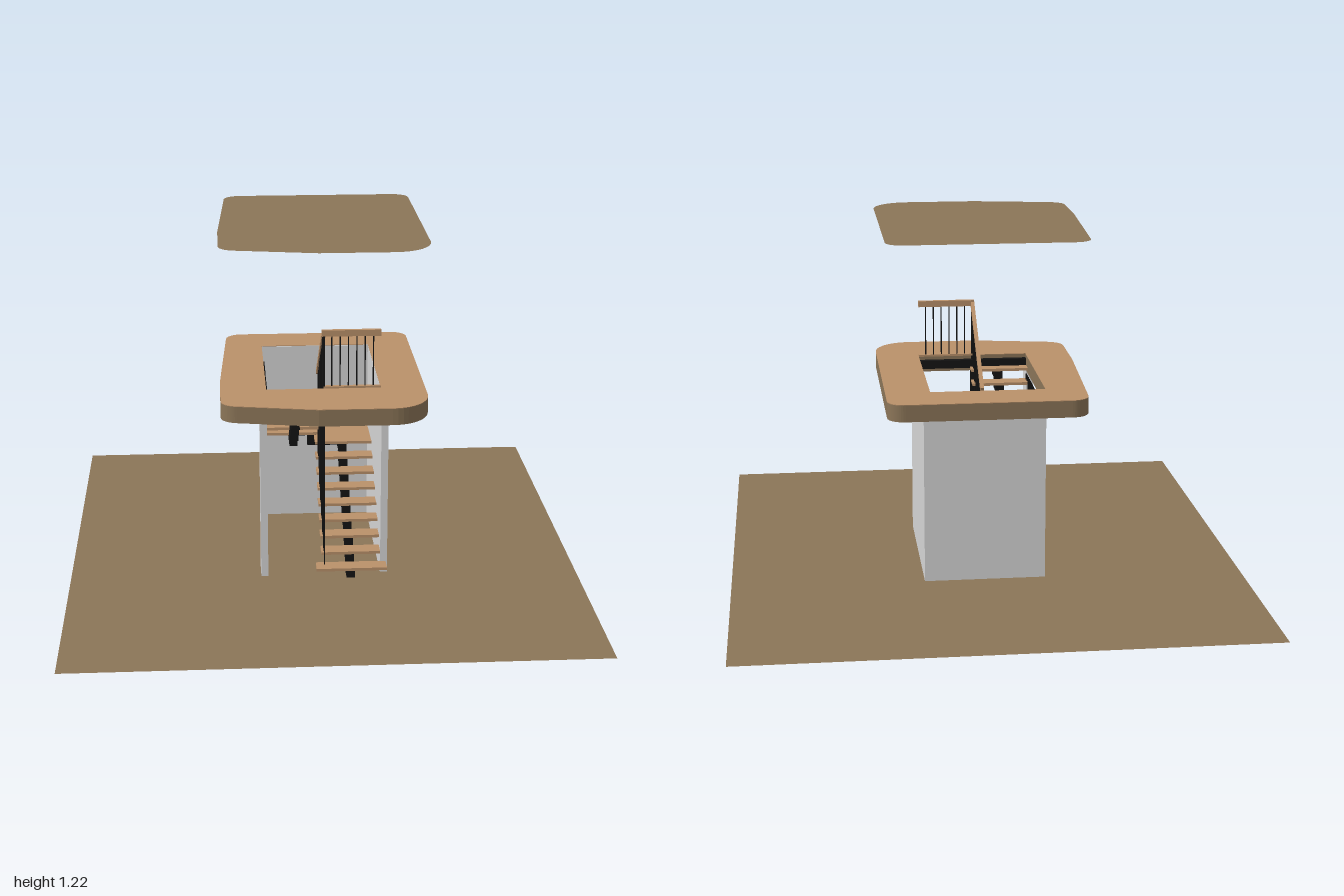
import * as THREE from 'three';

const mat = (name, color, side = THREE.FrontSide) => {
  const m = new THREE.MeshStandardMaterial({ color, side });
  m.name = name;
  return m;
};

export function createModel() {
  const earth = mat('earthBrown', 0x8b7558, THREE.DoubleSide);
  const wood = mat('wood', 0xba916a);
  const grey = mat('wallGrey', 0xd6d6d6);
  const black = mat('blackSteel', 0x141414);

  const model = new THREE.Group();
  const add = (parent, name, geo, material) => {
    const mesh = new THREE.Mesh(geo, material);
    mesh.name = name;
    parent.add(mesh);
    return mesh;
  };
  // Box given by its extents
  const box = (parent, name, material, x0, x1, y0, y1, z0, z1) => {
    const m = add(parent, name, new THREE.BoxGeometry(x1 - x0, y1 - y0, z1 - z0), material);
    m.position.set((x0 + x1) / 2, (y0 + y1) / 2, (z0 + z1) / 2);
    return m;
  };
  const group = (name) => {
    const g = new THREE.Group();
    g.name = name;
    model.add(g);
    return g;
  };

  // Rounded plan outline shared by roof and deck (shape y becomes z)
  const outline = () => {
    const s = new THREE.Shape();
    s.moveTo(-0.27, -0.46);
    s.lineTo(0.295, -0.46);
    s.bezierCurveTo(0.33, -0.46, 0.355, -0.435, 0.355, -0.40);
    s.lineTo(0.355, 0.31);
    s.bezierCurveTo(0.355, 0.39, 0.30, 0.457, 0.22, 0.457);
    s.lineTo(-0.03, 0.457);
    s.lineTo(-0.305, 0.405);
    s.bezierCurveTo(-0.335, 0.40, -0.36, 0.375, -0.36, 0.345);
    s.lineTo(-0.36, 0.13);
    s.lineTo(-0.333, -0.40);
    s.bezierCurveTo(-0.332, -0.435, -0.305, -0.46, -0.27, -0.46);
    return s;
  };
  const slab = (name, material, top, depth, hole) => {
    const [x0, x1, z0, z1] = hole;
    const s = outline();
    s.holes.push(new THREE.Path([
      new THREE.Vector2(x0, z0), new THREE.Vector2(x0, z1),
      new THREE.Vector2(x1, z1), new THREE.Vector2(x1, z0)]));
    const geo = new THREE.ExtrudeGeometry(s, { depth, bevelEnabled: false, curveSegments: 12 });
    add(model, name, geo.rotateX(Math.PI / 2), material).position.y = top;
  };

  // Ground, floating roof sheet and deck
  add(model, 'ground', new THREE.PlaneGeometry(1.8, 2).rotateX(-Math.PI / 2), earth);
  add(model, 'roofSheet', new THREE.ShapeGeometry(outline(), 12).rotateX(Math.PI / 2), earth).position.y = 1.22;
  slab('deckBody', earth, 0.678, 0.058, [-0.2, 0.21, -0.31, 0.228]);
  slab('deckTop', wood, 0.68, 0.002, [-0.2, 0.2, -0.3, 0.228]);

  // Walls
  const walls = group('walls');
  box(walls, 'rightWall', grey, 0.2, 0.225, 0, 0.677, -0.325, 0.27);
  box(walls, 'backWall', grey, -0.2, 0.2, 0, 0.677, -0.325, -0.3);
  box(walls, 'leftWallFragment', grey, -0.225, -0.2, 0, 0.622, 0.2, 0.285);

  // Stairs: two flights around a split landing
  const rise = 0.04, run = 0.055, start = 0.326, turn = start - 8 * run;
  const stairs = group('stairs');
  const B = 0.03; // beam size
  const tread = (k, x0, x1, z0, z1) => box(stairs, 'tread', wood, x0, x1, k * rise - 0.01, k * rise, z0, z1);

  for (let k = 1; k <= 8; k++) { // lower flight
    const zf = start - (k - 1) * run, y = k * rise - 0.01;
    tread(k, k === 1 ? -0.03 : -0.01, k === 1 ? 0.22 : 0.2, zf - 0.06, zf);
    box(stairs, 'lowerBeamRiser', black, 0.077, 0.107, Math.max(0, y - rise - B), y - B, zf - 0.01 - B, zf - 0.01);
    box(stairs, 'lowerBeamStep', black, 0.077, 0.107, y - B, y, zf - 0.01 - run - B, zf - 0.01);
  }
  for (let k = 11; k <= 16; k++) { // upper flight
    const zb = turn + (k - 11) * run, y = k * rise - 0.01;
    tread(k, -0.2, 0.01, zb, zb + 0.06);
    box(stairs, 'upperBeamRiser', black, -0.107, -0.077, y - rise - B, y - B, zb + 0.01, zb + 0.01 + B);
    box(stairs, 'upperBeamStep', black, -0.107, -0.077, y - B, y, zb + 0.01, zb + 0.01 + run + B);
  }
  tread(9, -0.01, 0.2, -0.3, turn);
  tread(10, -0.2, 0.01, -0.3, turn + 0.005);

  // Landing beams
  const lz = -0.22;
  box(stairs, 'lowerLandingBeam', black, 0.077, 0.107, 0.32, 0.35, lz, turn);
  box(stairs, 'lowerCrossBeam', black, -0.035, 0.107, 0.32, 0.35, lz, lz + B);
  box(stairs, 'crossBeamStep', black, -0.035, -0.005, 0.32, 0.39, lz, lz + B);
  box(stairs, 'upperCrossBeam', black, -0.107, -0.005, 0.36, 0.39, lz, lz + B);
  box(stairs, 'upperLandingBeam', black, -0.107, -0.077, 0.36, 0.39, lz, turn + 0.02);
  box(stairs, 'deckEdgeBeam', black, -0.2, 0.2, 0.635, 0.665, 0.205, 0.227);

  // Railings
  const railing = group('railing');
  const bar = (x, y0, y1, z, w = 0.004) =>
    box(railing, 'baluster', black, x - w / 2, x + w / 2, y0, y1, z - w / 2, z + w / 2);
  const railY = (z) => 0.877 - (0.22 - z) * rise / run;
  const lowerTop = (z) => rise * Math.min(9, Math.floor((start - z) / run) + 1);
  const upperTop = (z) => rise * (z < turn ? 10 : 11 + Math.floor((z - turn) / run));

  for (let i = 0; i < 12; i++) { // inner screen between the flights
    const z = turn + 0.014 + i * run / 2;
    bar(0, lowerTop(z), railY(z), z);
  }
  for (const z of [0.23, 0.2575, 0.285]) bar(0, lowerTop(z), 0.62, z);
  for (let i = 0; i < 18; i++) { // outer screen up to the deck
    const z = -0.29 + i * run / 2;
    if (upperTop(z) < 0.62) bar(-0.193, upperTop(z), 0.622, z);
  }
  for (let i = 1; i <= 6; i++) bar(i * 0.029, 0.68, 0.87, 0.22); // guard beside the opening
  bar(0, 0.64, 0.875, 0.222, 0.009);

  box(railing, 'guardRail', wood, -0.006, 0.2, 0.868, 0.89, 0.213, 0.228);
  box(railing, 'guardFootRail', wood, 0, 0.2, 0.68, 0.687, 0.213, 0.228);
  const z0 = turn, z1 = 0.222, dy = railY(z1) - railY(z0);
  const rail = add(railing, 'slopedHandrail',
    new THREE.BoxGeometry(0.013, 0.018, Math.hypot(z1 - z0, dy)), wood);
  rail.position.set(0, (railY(z0) + railY(z1)) / 2, (z0 + z1) / 2);
  rail.rotation.x = -Math.atan2(dy, z1 - z0);

  return model;
}
